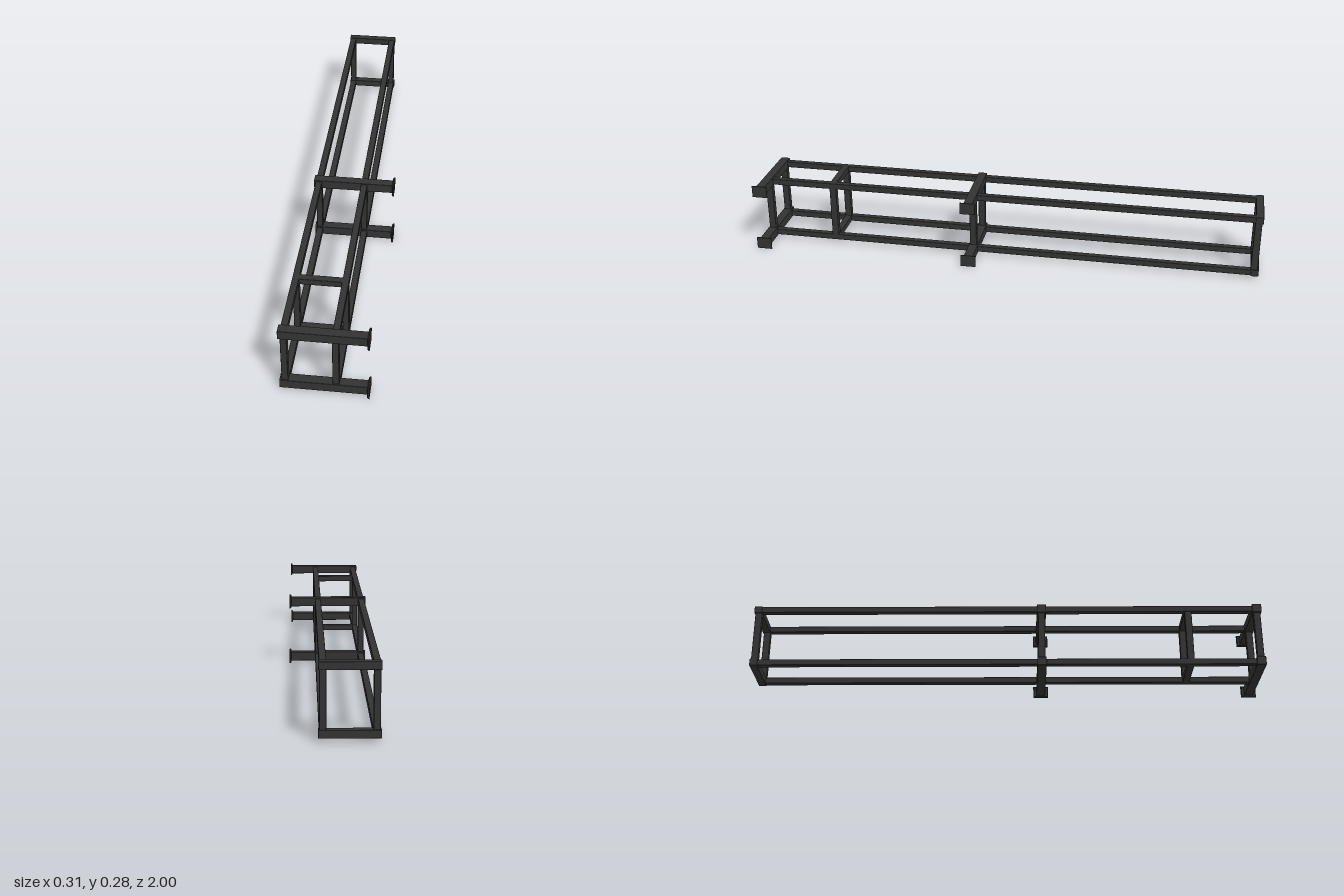
import * as THREE from 'three';
import { RoundedBoxGeometry } from 'three/addons/geometries/RoundedBoxGeometry.js';

const LEVELS = [0.0255, 0.2515];   // heights of the lower and upper rails
const SIDES = [-0.136, 0.039];     // x of the right and left rails
const MID_X = (SIDES[0] + SIDES[1]) / 2;
const MID_Y = (LEVELS[0] + LEVELS[1]) / 2;
const BAR = 0.024;                 // thickness of the square tube

export function createModel() {
  const group = new THREE.Group();
  const material = new THREE.MeshStandardMaterial({ color: 0x333333 });

  function add(name, geometry, x, y, z) {
    const mesh = new THREE.Mesh(geometry, material);
    mesh.name = name;
    mesh.position.set(x, y, z);
    group.add(mesh);
  }
  const bar = (w, h, d) => new RoundedBoxGeometry(w, h, d, 2, 0.002);

  // Flange plate: chamfered towards the arm
  function flangeGeometry() {
    const g = new THREE.BoxGeometry(0.008, 0.047, 0.06, 2, 1, 1);
    const p = g.attributes.position;
    for (let i = 0; i < p.count; i++) {
      if (p.getX(i) < -0.001) {
        p.setY(i, p.getY(i) * 0.87);
        p.setZ(i, p.getZ(i) * 0.9);
      }
    }
    const flat = g.toNonIndexed();
    flat.computeVertexNormals();
    return flat;
  }

  // Four long rails
  for (const y of LEVELS) {
    for (const x of SIDES) add('rail', bar(BAR, BAR, 1.965), x, y, -0.0125);
  }

  // Upright posts at each frame
  for (const z of [0.969, 0.7, 0.126, -0.982]) {
    for (const x of SIDES) {
      add('post', bar(0.023, LEVELS[1] - LEVELS[0], 0.027), x, MID_Y, z);
    }
  }

  for (const y of LEVELS) {
    // Inner and rear cross bars
    add('innerCrossBar', bar(SIDES[1] - SIDES[0], BAR, 0.027), MID_X, y, 0.7);
    add('rearCrossBar', bar(SIDES[1] - SIDES[0] + 0.03, 0.028, 0.03), MID_X, y, -0.985);

    // Mounting arms reaching out to the left, ending in flanges
    for (const z of [0.969, 0.126]) {
      add('mountingArm', bar(0.305, 0.035, 0.036), -0.0025, y, z);
      add('flange', flangeGeometry(), 0.151, y - (y < MID_Y ? 0.002 : 0), z);
    }
  }
  return group;
}
